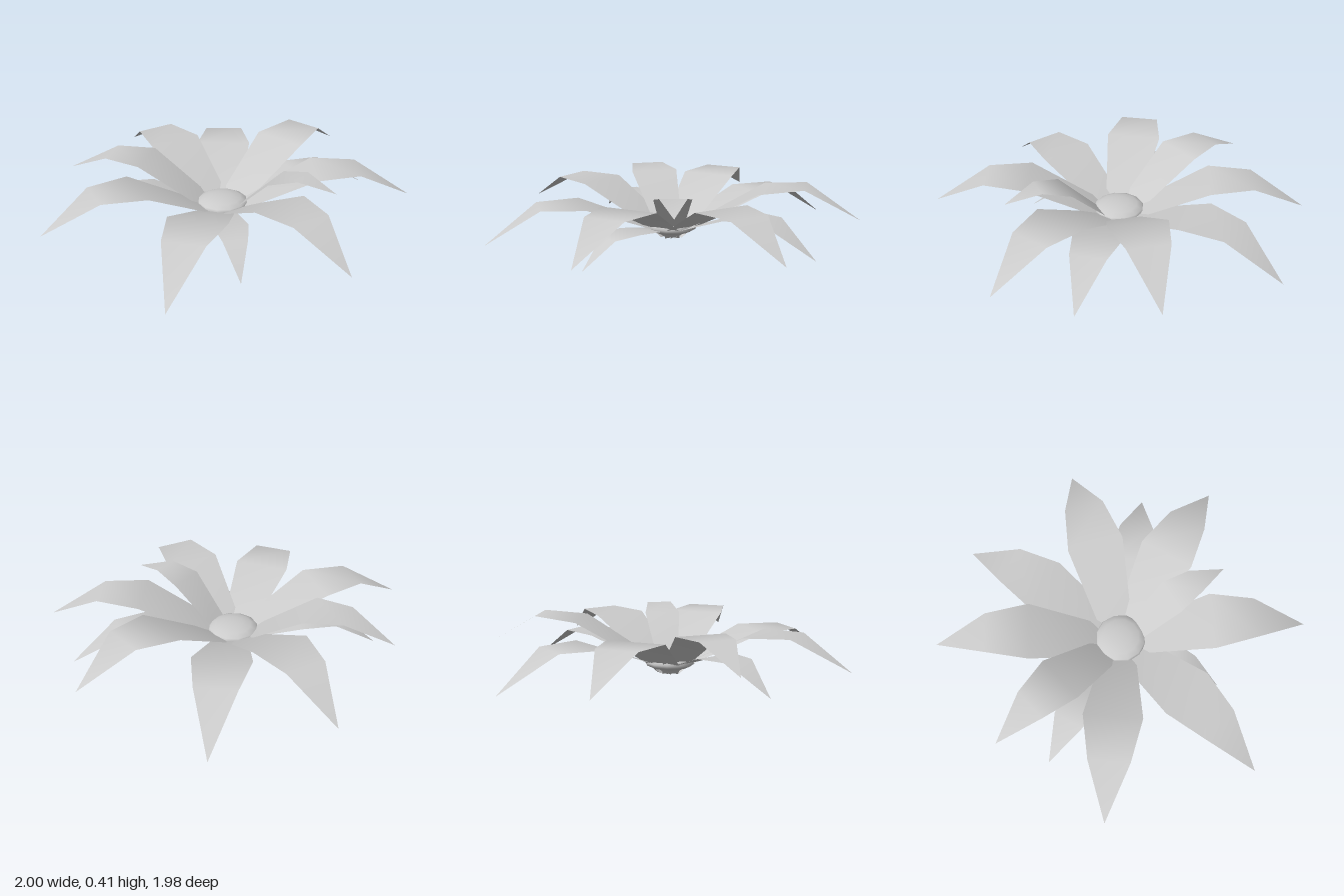
import * as THREE from 'three';

const CENTRE = { x: -0.006, z: 0.035 };

// tip x, tip z, size, then heights: widest row, outer row, tip
const PETALS = [
  [0.00, -0.99, 1.00, 0.385, 0.41, 0.24],
  [0.755, -0.665, 1.00, 0.355, 0.362, 0.20],
  [0.995, 0.263, 1.00, 0.355, 0.362, 0.20],
  [0.47, 0.945, 1.00, 0.305, 0.306, 0.11],
  [-0.38, 0.985, 1.00, 0.355, 0.362, 0.20],
  [-1.00, -0.21, 1.00, 0.355, 0.362, 0.20],
  [-0.688, -0.743, 1.00, 0.303, 0.305, 0.11],
  [-0.81, 0.44, 0.87, 0.38, 0.39, 0.27],
  [0.375, -0.783, 0.87, 0.275, 0.28, 0.115],
  [-0.575, 0.583, 0.77, 0.25, 0.255, 0.11],
  [0.635, -0.123, 0.64, 0.375, 0.415, 0.36],
  [0.455, 0.41, 0.60, 0.165, 0.15, 0.0],
];

// A thin blade: rows of two points from a short steep base, closed by a pointed tip
function petalGeometry([tipX, tipZ, size, yWide, yOuter, yTip]) {
  const dx = tipX - CENTRE.x, dz = tipZ - CENTRE.z;
  const length = Math.hypot(dx, dz);
  const ux = dx / length, uz = dz / length;
  const rows = [
    [0.03, 0.09, 0.06 * size],
    [0.08, 0.142, 0.09 * size],
    [0.485 * length, yWide, 0.157 * size],
    [0.715 * length, yOuter, 0.11 * size],
  ];
  const points = [];
  for (const [r, y, half] of rows) {
    for (const side of [-1, 1]) {
      points.push(CENTRE.x + ux * r - uz * half * side, y, CENTRE.z + uz * r + ux * half * side);
    }
  }
  points.push(tipX, yTip, tipZ);

  const faces = [];
  for (let i = 0; i < 6; i += 2) faces.push(i, i + 1, i + 3, i, i + 3, i + 2);
  faces.push(6, 7, 8);

  const geometry = new THREE.BufferGeometry();
  geometry.setAttribute('position', new THREE.Float32BufferAttribute(points, 3));
  geometry.setIndex(faces.reverse()); // upper side is the front
  geometry.computeVertexNormals();
  return geometry;
}

export function createModel() {
  const group = new THREE.Group();
  const material = new THREE.MeshStandardMaterial({ color: 0xcccccc, side: THREE.DoubleSide });

  // Petals
  const petals = new THREE.Group();
  petals.name = 'petals';
  for (const petal of PETALS) {
    const mesh = new THREE.Mesh(petalGeometry(petal), material);
    mesh.name = petal[2] === 1 ? 'largePetal' : 'smallPetal';
    petals.add(mesh);
  }
  group.add(petals);

  // Flattened ball at the heart of the flower
  const heart = new THREE.Mesh(new THREE.SphereGeometry(1, 12, 8), material);
  heart.name = 'flowerCentre';
  heart.scale.set(0.146, 0.048, 0.146);
  heart.position.set(CENTRE.x, 0.157, CENTRE.z);
  group.add(heart);

  return group;
}
